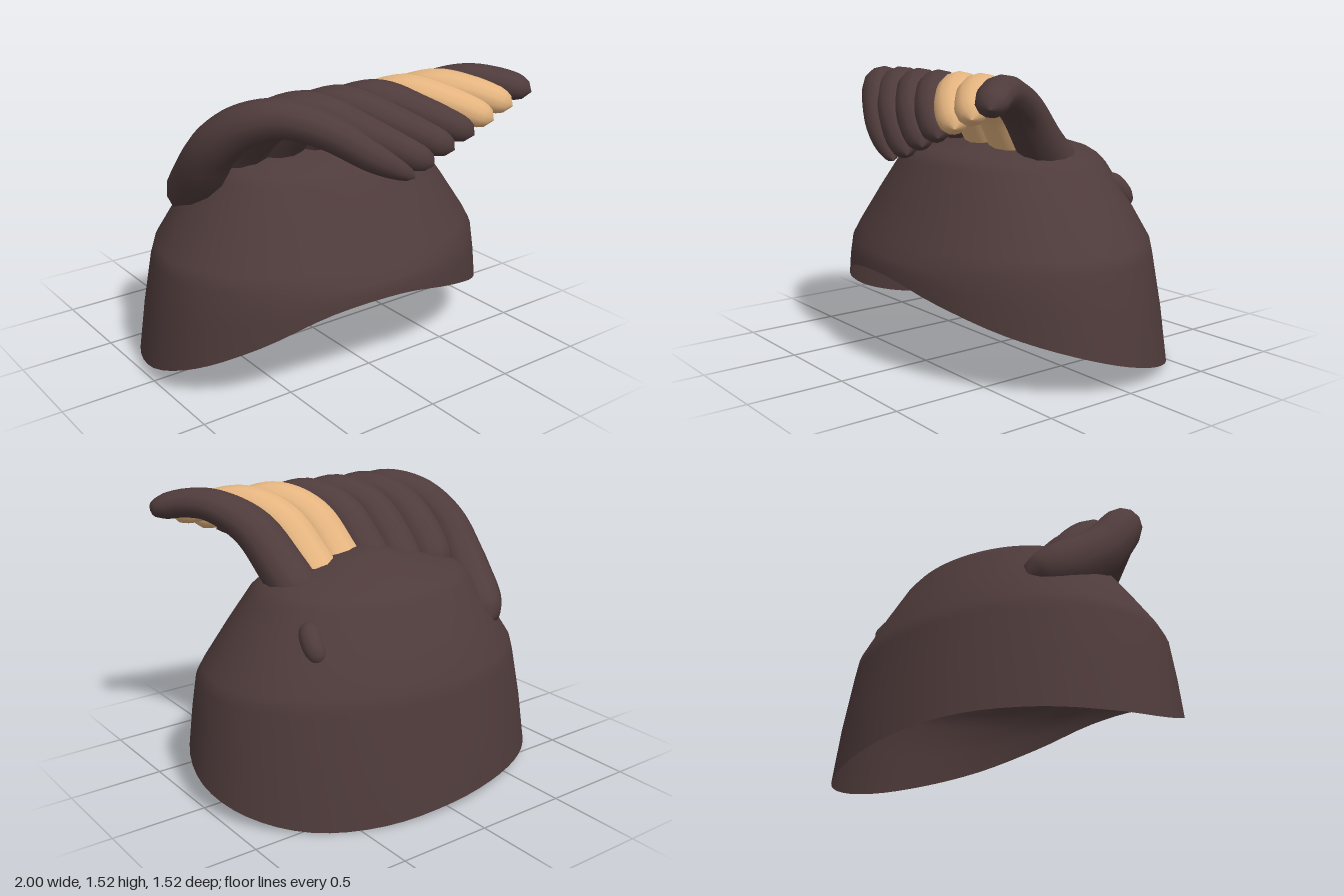
import * as THREE from 'three';
import { mergeVertices } from 'three/addons/utils/BufferGeometryUtils.js';

const V = (p) => new THREE.Vector3(...p);

// Height of the cap's wavy lower edge, at sixteenths of a turn from +x through +z
const rimCurve = new THREE.CatmullRomCurve3(
  [0.135, 0.225, 0.32, 0.425, 0.505, 0.475, 0.325, 0.18, 0.08, 0.05, 0.055, 0.06, 0.04, 0.01, 0.01, 0.06]
    .map((y, i) => new THREE.Vector3(i, y, 0)), true, 'catmullrom');

// Open oval shell: rings of [scale, height, extra scale toward the front] above the wavy rim
function capGeometry() {
  const sides = 64;
  const rings = [[0.925, 0.59, 0.035], [0.895, 0.66, 0.015], [0.765, 0.85, 0.008], [0.632, 1.03, 0.005],
    [0.585, 1.07, 0], [0.53, 1.098, 0], [0.3, 1.155, 0], [0.12, 1.195, 0], [0, 1.215, 0]];
  const pos = [], index = [];
  for (let r = 0; r <= rings.length + 1; r++) {
    for (let i = 0; i < sides; i++) {
      const a = (i / sides) * Math.PI * 2, front = Math.sin(a);
      const rim = rimCurve.getPoint(i / sides).y;
      // rim, then a ring halfway to the shoulder, then the listed rings
      let s = 1 - 0.022 * Math.max(0, front), y = rim;
      if (r === 1) {
        s = 0.965 + 0.01 * front;
        y = (rim + 0.59) / 2;
      } else if (r > 1) {
        const [scale, height, bulge] = rings[r - 2];
        s = scale + bulge * front;
        y = height;
      }
      pos.push(s * Math.cos(a), y, 0.762 * s * front);
      if (r <= rings.length) {
        const j = (i + 1) % sides, k = r * sides, up = k + sides;
        index.push(k + i, up + i, k + j);
        if (r < rings.length) index.push(up + i, up + j, k + j);
      }
    }
  }
  const g = new THREE.BufferGeometry();
  g.setAttribute('position', new THREE.Float32BufferAttribute(pos, 3));
  g.setIndex(index);
  const merged = mergeVertices(g);
  merged.computeVertexNormals();
  return merged;
}

// Tapered tube with rounded ends along a smooth path, flattened toward its tip by `widen`
function strandGeometry(points, r0, r1, { segs = 36, cap = 0.1, widen = 0 } = {}) {
  const curve = new THREE.CatmullRomCurve3(points.map(V));
  const sides = 12;
  const g = new THREE.TubeGeometry(curve, segs, 1, sides);
  const p = g.attributes.position, v = new THREE.Vector3();
  for (let i = 0; i <= segs; i++) {
    const t = i / segs, c = curve.getPointAt(t);
    const e = Math.max(0, 1 - Math.min(t, 1 - t) / cap);
    const r = (r0 + (r1 - r0) * t) * Math.sqrt(Math.max(0, 1 - e * e)) + 1e-3;
    for (let j = 0; j <= sides; j++) {
      const k = i * (sides + 1) + j;
      v.fromBufferAttribute(p, k).sub(c).multiplyScalar(r);
      v.x *= 1 + widen * t;
      v.add(c);
      p.setXYZ(k, v.x, v.y, v.z);
    }
  }
  g.deleteAttribute('uv');
  g.deleteAttribute('normal');
  const merged = mergeVertices(g);
  merged.computeVertexNormals();
  return merged;
}

export function createModel() {
  const dark = new THREE.MeshStandardMaterial({ color: 0x4f3b3b, side: THREE.DoubleSide });
  dark.name = 'dark brown hair';
  const gold = new THREE.MeshStandardMaterial({ color: 0xe4b47f });
  gold.name = 'golden highlight';

  const group = new THREE.Group();
  group.name = 'hairpiece';
  const add = (name, geometry, material) => {
    const mesh = new THREE.Mesh(geometry, material);
    mesh.name = name;
    group.add(mesh);
  };

  add('hairCap', capGeometry(), dark);

  // Long outer strand that starts low on the right side of the cap
  add('outerStrand', strandGeometry([
    [-0.535, 0.8, -0.42], [-0.6, 0.9, -0.22], [-0.675, 1.05, -0.02], [-0.68, 1.23, 0.14],
    [-0.605, 1.36, 0.29], [-0.48, 1.405, 0.43], [-0.32, 1.345, 0.55], [-0.14, 1.22, 0.65],
    [0.08, 1.085, 0.725],
  ], 0.155, 0.06, { segs: 48, cap: 0.16, widen: 0.15 }), dark);

  // Six swept strands, blended from the second to the last; the middle roots sit further forward
  const first = [[-0.44, 0.98, -0.08], [-0.455, 1.18, 0.06], [-0.43, 1.345, 0.25],
    [-0.32, 1.412, 0.42], [-0.11, 1.305, 0.59], [0.2, 1.125, 0.725]];
  const last = [[0.4, 0.98, -0.07], [0.435, 1.15, 0.095], [0.5, 1.335, 0.265],
    [0.61, 1.43, 0.45], [0.715, 1.435, 0.59], [0.845, 1.39, 0.725]];
  for (let i = 0; i < 6; i++) {
    const path = first.map((p, k) => p.map((n, axis) => n + (last[k][axis] - n) * i / 5));
    const shift = 0.06 * Math.sin(Math.PI * i / 5);
    path[0][2] += shift;
    path[1][2] += shift;
    path[2][2] += shift / 2;
    const isGold = i === 3 || i === 4;
    add((isGold ? 'goldenStrand' : 'strand') + (i + 2),
      strandGeometry(path, 0.132, 0.062, { widen: 0.4 }), isGold ? gold : dark);
  }

  // Small tuft end poking out at the back left
  add('tuftEnd', strandGeometry(
    [[0.515, 0.97, -0.255], [0.55, 0.895, -0.33], [0.545, 0.805, -0.405]], 0.062, 0.052,
    { segs: 14, cap: 0.35 }), dark);

  return group;
}
